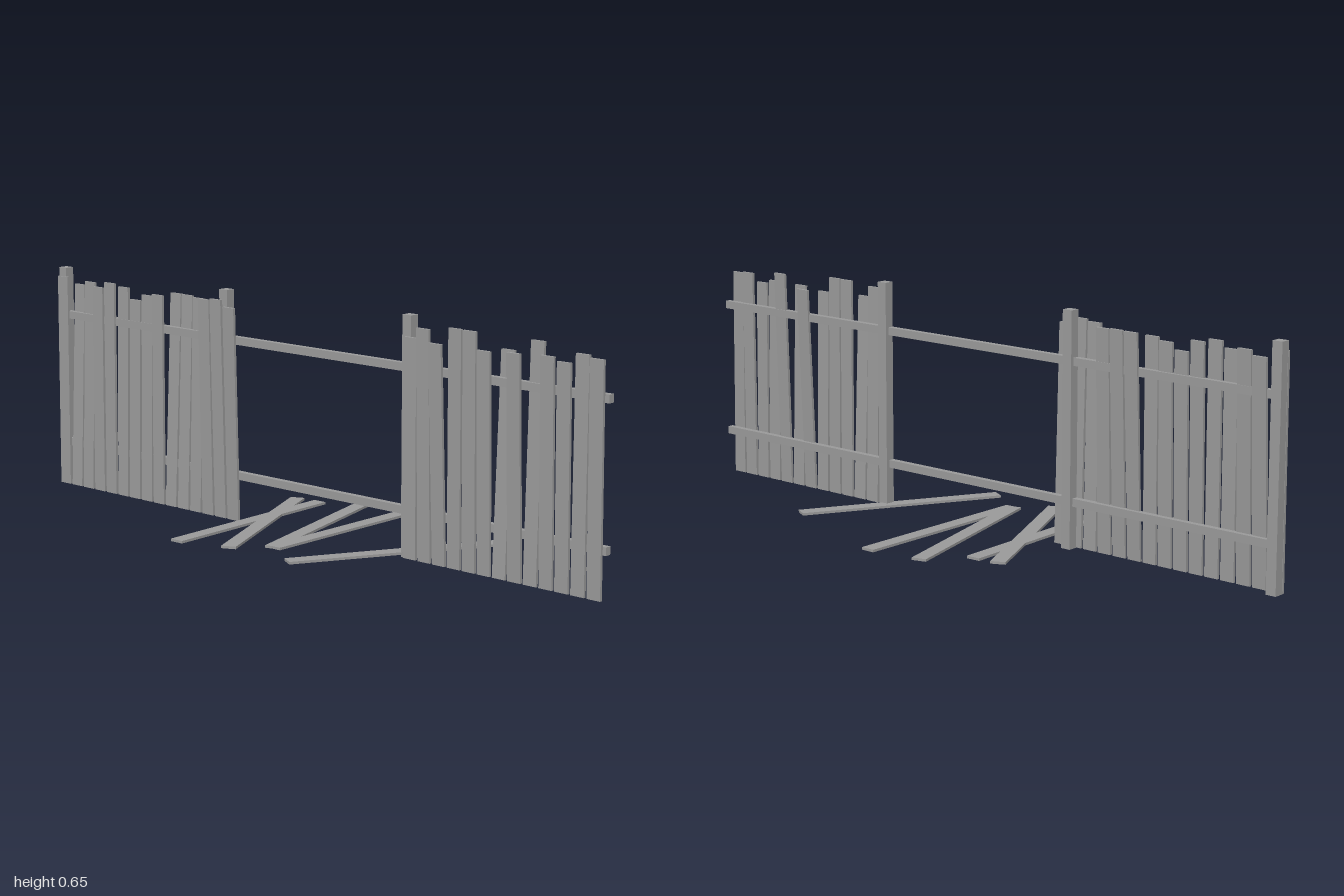
import * as THREE from 'three';

export function createModel() {
  const group = new THREE.Group();
  group.name = 'brokenFence';
  const wood = new THREE.MeshStandardMaterial({ color: 0x999999 });
  wood.name = 'weatheredWood';

  const box = (name, w, h, d, x, y, z) => {
    const mesh = new THREE.Mesh(new THREE.BoxGeometry(w, h, d), wood);
    mesh.name = name;
    mesh.position.set(x, y, z);
    group.add(mesh);
    return mesh;
  };

  // Upright posts
  for (const x of [-0.985, -0.32, 0.35]) box('post', 0.03, 0.652, 0.028, x, 0.326, 0.035);

  // Horizontal rails
  for (const y of [0.129, 0.513]) box('rail', 1.99, 0.022, 0.018, 0.005, y, 0.04);

  // Upright planks: [height, z of the top], hinged at the foot
  const addPlanks = (startX, planks) => planks.forEach(([height, topZ], i) => {
    const footZ = 0.053;
    const geometry = new THREE.BoxGeometry(0.042, height, 0.008);
    geometry.translate(0, height / 2, 0);
    const plank = new THREE.Mesh(geometry, wood);
    plank.name = 'plank';
    plank.position.set(startX + i * 0.05, 0.001, footZ);
    plank.rotation.x = Math.atan2(topZ - footZ, height);
    group.add(plank);
  });
  addPlanks(-0.98, [
    [0.625, 0.05], [0.605, 0.028], [0.617, 0.034], [0.608, 0.05], [0.625, 0.05],
    [0.617, 0.042], [0.585, 0.042], [0.603, 0.042], [0.61, 0.05], [0.618, 0.024],
    [0.618, 0.028], [0.615, 0.034], [0.62, 0.064], [0.625, 0.068], [0.607, 0.068],
  ]);
  addPlanks(0.37, [
    [0.595, 0.055], [0.625, 0.066], [0.593, 0.077], [0.635, 0.056], [0.635, 0.06],
    [0.59, 0.065], [0.595, 0.027], [0.597, 0.071], [0.63, 0.035], [0.6, 0.062],
    [0.59, 0.06], [0.615, 0.05], [0.61, 0.06],
  ]);

  // Fallen planks on the ground: end points [x1, z1, x2, z2]
  for (const [x1, z1, x2, z2] of [
    [-0.297, -0.23, -0.045, 0.315],
    [-0.219, -0.24, -0.198, 0.36],
    [-0.12, -0.343, 0.04, 0.235],
    [0.048, -0.362, 0.048, 0.235],
    [0.457, -0.205, 0.171, 0.317],
  ]) {
    const board = box('fallenPlank', 0.042, 0.007, Math.hypot(x2 - x1, z2 - z1),
      (x1 + x2) / 2, 0.0105, (z1 + z2) / 2);
    board.rotation.y = Math.atan2(x2 - x1, z2 - z1);
  }
  return group;
}
